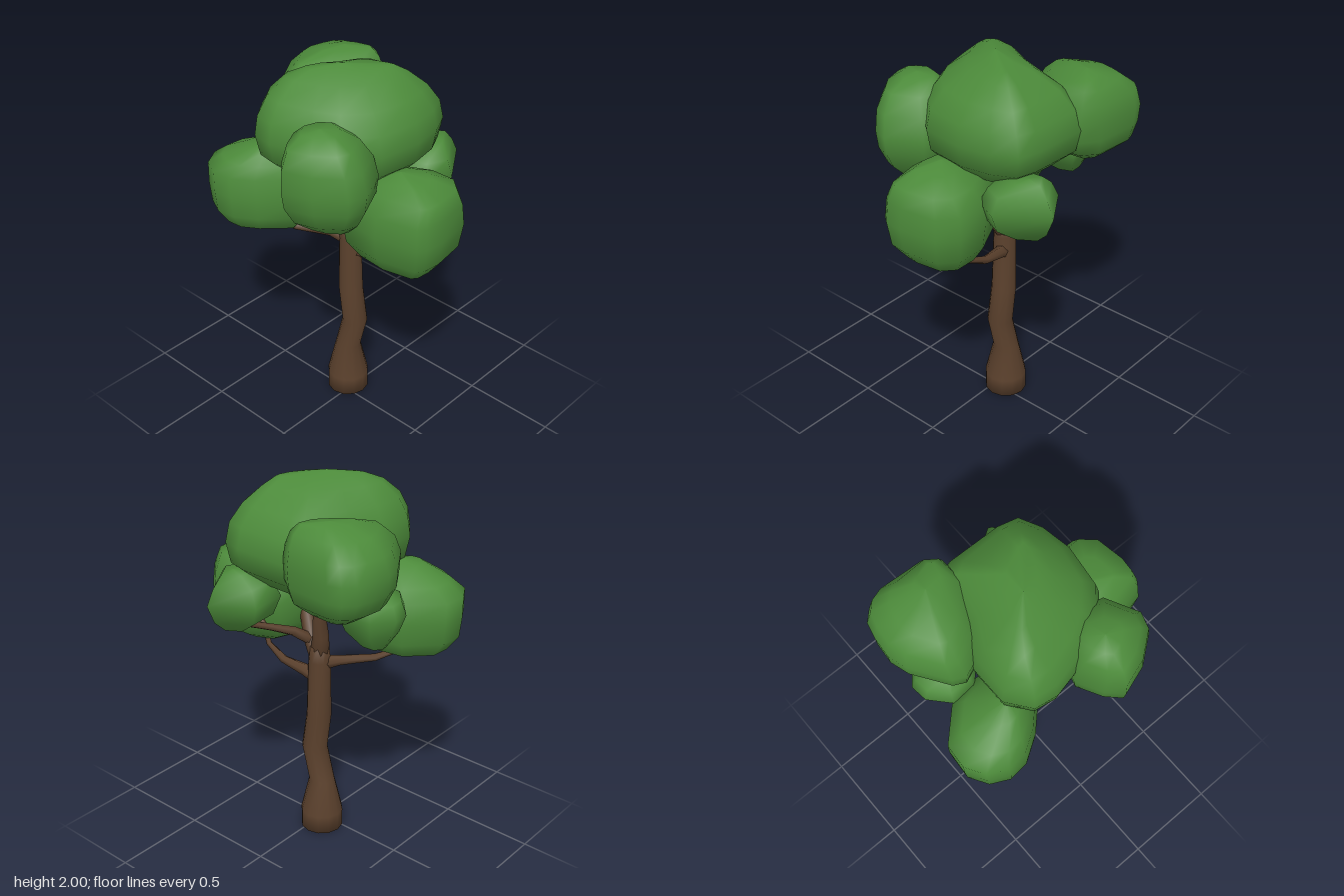
import * as THREE from 'three';

const bark = new THREE.MeshStandardMaterial({ color: 0x5a402c });
const leaf = new THREE.MeshStandardMaterial({ color: 0x4c8a3a });

// Skin a stack of closed rings (arrays of Vector3 with equal length)
function loft(name, rings, material) {
  const n = rings[0].length, index = [];
  for (let j = 0; j < rings.length - 1; j++) {
    for (let i = 0; i < n; i++) {
      const a = j * n + i, b = j * n + (i + 1) % n;
      index.push(a, a + n, b, b, a + n, b + n);
    }
  }
  const geo = new THREE.BufferGeometry().setFromPoints(rings.flat());
  geo.setIndex(index);
  geo.computeVertexNormals();
  const mesh = new THREE.Mesh(geo, material);
  mesh.name = name;
  return mesh;
}

// Tapered limb along [x, y, z, radius] stations, closed at both ends
function limb(name, stations, sides, level = false) {
  const up = new THREE.Vector3(0, 1, 0);
  const pts = stations.map(s => new THREE.Vector3(s[0], s[1], s[2]));
  const ring = (k, r) => {
    const dir = pts[Math.min(k + 1, pts.length - 1)].clone().sub(pts[Math.max(k - 1, 0)]).normalize();
    const turn = new THREE.Quaternion().setFromUnitVectors(up, level ? up : dir);
    return Array.from({ length: sides }, (_, i) => {
      const a = i / sides * Math.PI * 2;
      return new THREE.Vector3(r * Math.cos(a), 0, r * Math.sin(a)).applyQuaternion(turn).add(pts[k]);
    });
  };
  return loft(name, [ring(0, 0), ...stations.map((s, k) => ring(k, s[3])), ring(pts.length - 1, 0)], bark);
}

// Leaf clump: plan outline [x, z], scaled through rows [y, scale, shiftX, shiftZ, across];
// across < 1 narrows a row along the x = z diagonal, leaving a ridge
function clump(name, outline, rows) {
  const plan = outline.map(p => new THREE.Vector2(...p));
  if (THREE.ShapeUtils.area(plan) < 0) plan.reverse();
  const c = new THREE.Box2().setFromPoints(plan).getCenter(new THREE.Vector2());
  const rings = rows.map(([y, s, dx = 0, dz = 0, across = 1]) => plan.map(p => {
    const u = p.x - c.x, v = p.y - c.y, cut = (1 - across) * (u + v) / 2;
    return new THREE.Vector3(c.x + (u - cut) * s + dx, y, c.y + (v - cut) * s + dz);
  }));
  return loft(name, rings, leaf);
}

export function createModel() {
  const tree = new THREE.Group();
  tree.name = 'tree';

  // Bent trunk with flared foot
  tree.add(limb('trunk', [
    [-0.04, 0, -0.05, 0.113], [-0.04, 0.1, -0.05, 0.113], [-0.04, 0.29, -0.05, 0.069],
    [0.01, 0.48, -0.05, 0.068], [-0.02, 0.68, -0.05, 0.066], [-0.025, 1.0, -0.05, 0.059],
    [-0.025, 1.08, -0.05, 0.05]], 12, true));

  // Leaders and side branches
  const branches = new THREE.Group();
  branches.name = 'branches';
  branches.add(
    limb('mainLeader', [[-0.028, 1.04, -0.05, 0.05], [-0.04, 1.15, -0.06, 0.042],
      [-0.06, 1.25, -0.09, 0.035], [-0.075, 1.46, -0.1, 0.028]], 8),
    limb('leftLeader', [[-0.02, 1.02, -0.05, 0.05], [0.04, 1.11, -0.04, 0.042],
      [0.105, 1.21, 0.0, 0.036], [0.13, 1.32, 0.07, 0.03], [0.14, 1.46, 0.12, 0.024]], 8),
    limb('frontBranch', [[0.11, 1.21, 0.0, 0.026], [0.13, 1.24, 0.1, 0.022],
      [0.14, 1.28, 0.2, 0.018], [0.15, 1.36, 0.29, 0.012]], 6),
    limb('leftBranch', [[-0.02, 0.9, -0.05, 0.045], [0.05, 0.93, -0.08, 0.032], [0.18, 0.955, -0.1, 0.022],
      [0.3, 1.0, -0.08, 0.015], [0.36, 1.07, -0.05, 0.01]], 6),
    limb('rightBranch', [[-0.02, 0.98, -0.05, 0.042], [-0.12, 1.01, 0.0, 0.026], [-0.26, 1.03, 0.11, 0.019],
      [-0.34, 1.07, 0.18, 0.014], [-0.37, 1.13, 0.2, 0.01]], 6),
    limb('backLeftBranch', [[0.03, 1.1, -0.05, 0.032], [0.08, 1.16, -0.13, 0.025], [0.14, 1.2, -0.23, 0.019],
      [0.2, 1.24, -0.34, 0.016], [0.22, 1.27, -0.38, 0.01]], 6),
    limb('twig', [[0.15, 1.21, -0.26, 0.014], [0.2, 1.25, -0.25, 0.011], [0.22, 1.32, -0.25, 0.008]], 5),
    limb('backRightBranch', [[-0.065, 1.33, -0.09, 0.028], [-0.17, 1.38, -0.13, 0.022],
      [-0.28, 1.43, -0.16, 0.017], [-0.35, 1.49, -0.17, 0.012]], 6));
  tree.add(branches);

  // Crown of boxy, rounded leaf clumps
  const crown = new THREE.Group();
  crown.name = 'crown';
  crown.add(
    clump('topClump', [[-0.2, -0.39], [-0.13, -0.43], [0.17, -0.42], [0.28, -0.39], [0.34, -0.27], [0.37, -0.1],
      [0.34, 0.13], [0.22, 0.27], [0.08, 0.34], [-0.14, 0.39], [-0.26, 0.37], [-0.35, 0.25], [-0.35, 0.05], [-0.27, -0.12]],
    [[1.41, 0], [1.42, 0.35], [1.46, 0.68], [1.56, 0.95], [1.67, 1], [1.77, 0.96, 0, 0.005, 0.97],
      [1.86, 0.84, -0.01, 0.01, 0.88], [1.94, 0.64, -0.02, 0.01, 0.65], [1.98, 0.46, -0.01, 0, 0.4], [2.0, 0, -0.03, 0.03]]),
    clump('frontLeftClump', [[-0.02, 0.37], [0.05, 0.5], [0.12, 0.57], [0.27, 0.52], [0.4, 0.42], [0.43, 0.33],
      [0.34, 0.15], [0.15, 0.1], [0.03, 0.2]],
    [[1.33, 0], [1.34, 0.45, 0, -0.02], [1.41, 0.75], [1.5, 0.95], [1.59, 1], [1.7, 0.93, -0.005, 0.01],
      [1.79, 0.73, -0.02, 0.02], [1.84, 0.39, -0.04, 0.02], [1.85, 0, -0.04, 0.02]]),
    clump('frontRightClump', [[-0.63, 0.18], [-0.64, 0.31], [-0.58, 0.41], [-0.48, 0.46], [-0.37, 0.45], [-0.26, 0.38],
      [-0.1, 0.22], [-0.14, 0.05], [-0.3, 0], [-0.48, 0.03]],
    [[1.07, 0], [1.075, 0.42], [1.11, 0.75], [1.19, 0.96], [1.3, 1], [1.41, 0.97, -0.01], [1.47, 0.75, 0.01],
      [1.54, 0.38, 0.05], [1.56, 0, 0.06]]),
    clump('leftClump', [[0.35, -0.25], [0.52, -0.25], [0.61, -0.17], [0.64, 0.03], [0.63, 0.13], [0.6, 0.17],
      [0.38, 0.22], [0.15, 0.2], [0.08, 0.05], [0.15, -0.15]],
    [[1.02, 0], [1.03, 0.4], [1.07, 0.68], [1.16, 0.93], [1.29, 1], [1.4, 0.96],
      [1.49, 0.77, 0.03, 0], [1.54, 0.4, 0.03, 0.02], [1.56, 0, 0, 0.03]]),
    clump('backRightClump', [[-0.6, -0.36], [-0.58, -0.44], [-0.53, -0.49], [-0.46, -0.51], [-0.21, -0.49], [-0.12, -0.42],
      [-0.1, -0.2], [-0.26, 0], [-0.4, 0.06], [-0.46, 0.03], [-0.58, -0.15], [-0.61, -0.25]],
    [[1.45, 0, 0, -0.05], [1.46, 0.5, 0, -0.05], [1.52, 0.85, 0, -0.02], [1.6, 0.98], [1.69, 1], [1.78, 0.92, 0, -0.02, 0.95],
      [1.85, 0.74, 0.02, -0.04, 0.8], [1.89, 0.45, 0.05, -0.08, 0.5], [1.9, 0, 0.04, -0.09]]),
    clump('smallBackLeftClump', [[0.24, -0.57], [0.4, -0.33], [0.34, -0.2], [0.18, -0.16], [0.06, -0.24], [0.04, -0.44]],
    [[1.23, 0, 0, -0.04], [1.24, 0.35, 0, -0.03], [1.3, 0.8], [1.4, 1], [1.48, 0.8], [1.54, 0.4, 0, -0.03], [1.55, 0, 0, -0.04]]),
    clump('smallBackRightClump', [[-0.58, -0.15], [-0.57, -0.06], [-0.48, 0.04], [-0.35, 0.04], [-0.24, -0.08],
      [-0.32, -0.26], [-0.5, -0.25]],
    [[1.23, 0, -0.04, -0.02], [1.25, 0.35, -0.03, -0.02], [1.33, 0.8], [1.42, 1], [1.49, 0.85], [1.53, 0.4], [1.54, 0]]));
  tree.add(crown);
  return tree;
}
